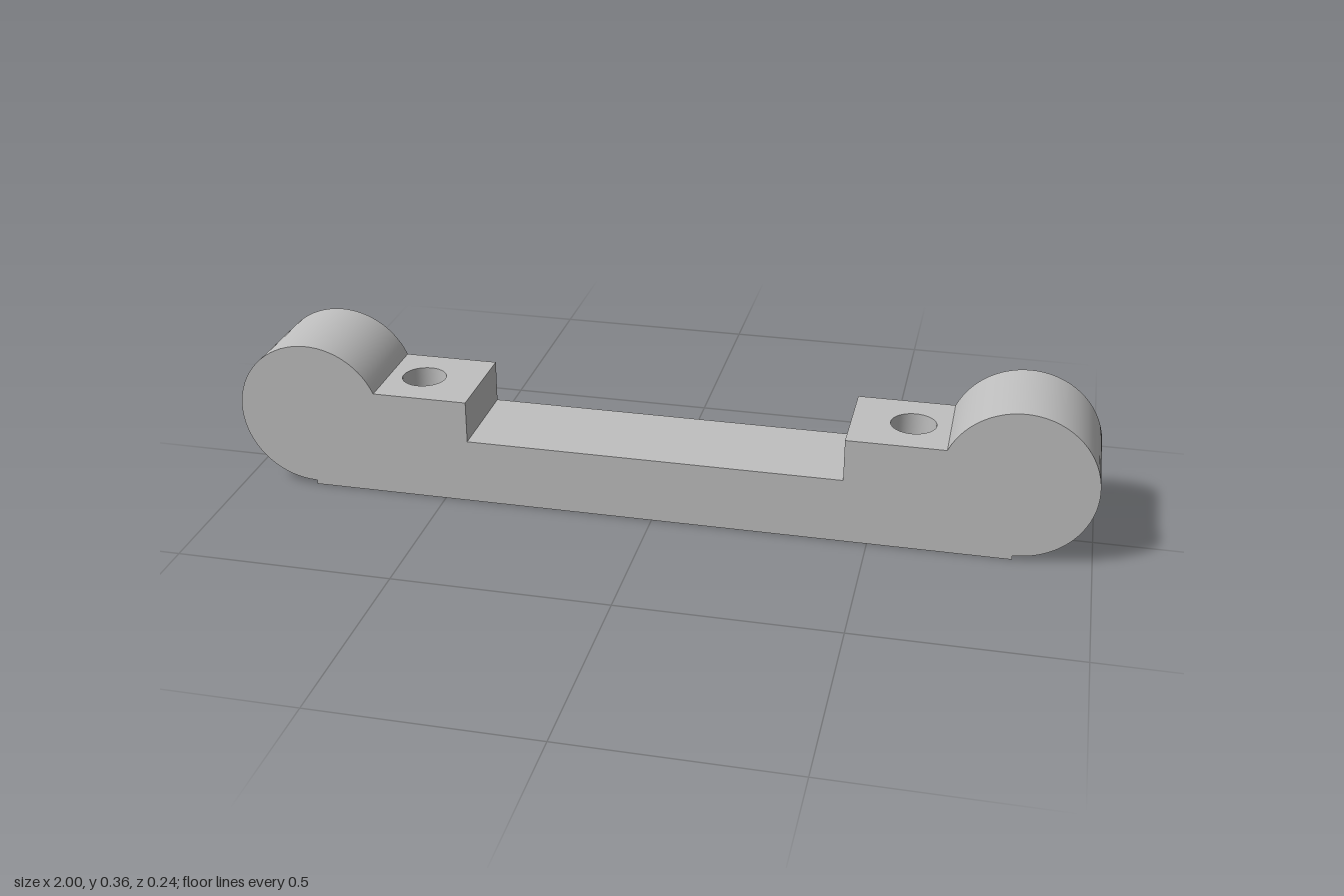
import * as THREE from 'three';
import { toCreasedNormals } from 'three/addons/utils/BufferGeometryUtils.js';

const HALF = 0.118;                       // half thickness along z
const KNOB = { x: 0.825, y: 0.185, r: 0.175 };
const BLOCK = { inner: 0.44, outer: 0.665, top: 0.255 };
const BRIDGE_TOP = 0.155;
const SCREW = { x: 0.58, r: 0.052 };
const BORE = { r: 0.1, depth: 0.195 };

const V = (x, y) => new THREE.Vector2(x, y);

function circleHole(x, y, r) {
  return new THREE.Path().absarc(x, y, r, 0, Math.PI * 2, true);
}

// Flat face with round holes given as [x, y, r]
function face(points, holes = []) {
  const shape = new THREE.Shape(points);
  holes.forEach(([x, y, r]) => shape.holes.push(circleHole(x, y, r)));
  return new THREE.ShapeGeometry(shape, 24);
}

function rectangle(x0, x1) {
  return [V(x0, -HALF), V(x1, -HALF), V(x1, HALF), V(x0, HALF)];
}

// Wall running the full thickness along a counter-clockwise profile
function wall(points) {
  const pos = [], index = [];
  points.forEach((p, i) => {
    pos.push(p.x, p.y, HALF, p.x, p.y, -HALF);
    if (i < points.length - 1) {
      const a = i * 2;
      index.push(a, a + 1, a + 3, a, a + 3, a + 2);
    }
  });
  const g = new THREE.BufferGeometry();
  g.setAttribute('position', new THREE.Float32BufferAttribute(pos, 3));
  g.setIndex(index);
  return toCreasedNormals(g, 0.5);
}

// Inward-facing tube from y = top down to y = bottom
function holeWall(r, top, bottom) {
  return new THREE.LatheGeometry([V(r, top), V(r, bottom)], 48);
}

export function createModel() {
  const model = new THREE.Group();
  model.name = 'handleBracket';
  const grey = new THREE.MeshStandardMaterial({ color: 0xbfbfbf });
  grey.name = 'grey';

  const add = (name, geometry) => {
    const mesh = new THREE.Mesh(geometry, grey);
    mesh.name = name;
    model.add(mesh);
    return mesh;
  };

  // Side profile: round knob with a small step below, then the stepped bridge
  const rightEnd = [V(KNOB.x, 0)];
  const endAngle = Math.PI - Math.asin((BLOCK.top - KNOB.y) / KNOB.r);
  const steps = 48;
  for (let i = 0; i <= steps; i++) {
    const a = THREE.MathUtils.lerp(-Math.PI / 2, endAngle, i / steps);
    rightEnd.push(V(KNOB.x + KNOB.r * Math.cos(a), KNOB.y + KNOB.r * Math.sin(a)));
  }
  const leftEnd = rightEnd.map((p) => V(-p.x, p.y)).reverse();
  const bridge = [
    V(BLOCK.inner, BLOCK.top), V(BLOCK.inner, BRIDGE_TOP),
    V(-BLOCK.inner, BRIDGE_TOP), V(-BLOCK.inner, BLOCK.top),
  ];
  const outline = [...rightEnd, ...bridge, ...leftEnd];

  // Closed front, bored back
  add('frontFace', face(outline)).position.z = HALF;
  const back = face(outline, [-1, 1].map((s) => [s * KNOB.x, KNOB.y, BORE.r]));
  add('backFace', back.rotateY(Math.PI)).position.z = -HALF;

  // Outer walls
  add('leftKnobWall', wall(rightEnd));
  add('rightKnobWall', wall(leftEnd));
  add('bridgeWall', wall(bridge));

  // Underside with both screw holes
  const base = face(rectangle(-KNOB.x, KNOB.x), [-1, 1].map((s) => [s * SCREW.x, 0, SCREW.r]));
  add('underside', base.rotateX(Math.PI / 2));

  for (const s of [-1, 1]) {
    const side = s > 0 ? 'left' : 'right';

    // Raised block top and the screw hole through it
    const x0 = Math.min(s * BLOCK.inner, s * BLOCK.outer);
    const x1 = Math.max(s * BLOCK.inner, s * BLOCK.outer);
    const top = face(rectangle(x0, x1), [[s * SCREW.x, 0, SCREW.r]]);
    add(side + 'BlockTop', top.rotateX(-Math.PI / 2)).position.y = BLOCK.top;
    add(side + 'ScrewHole', holeWall(SCREW.r, BLOCK.top, 0)).position.x = s * SCREW.x;

    // Blind bore opening at the back
    const bore = holeWall(BORE.r, BORE.depth, 0).rotateX(-Math.PI / 2);
    const floorZ = -HALF + BORE.depth;
    add(side + 'Bore', bore).position.set(s * KNOB.x, KNOB.y, floorZ);
    const floor = new THREE.CircleGeometry(BORE.r, 48).rotateY(Math.PI);
    add(side + 'BoreFloor', floor).position.set(s * KNOB.x, KNOB.y, floorZ);
  }

  return model;
}
